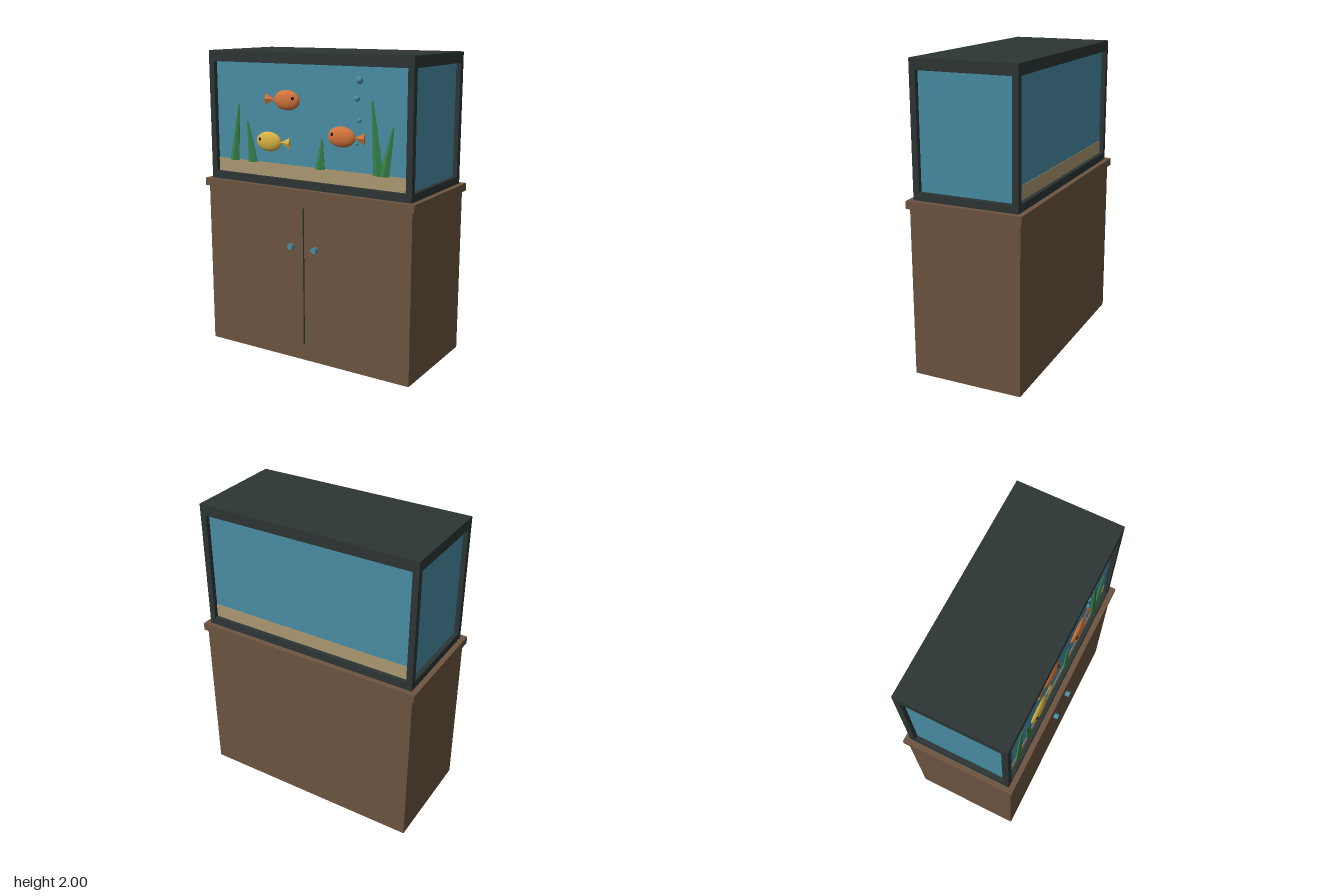
import * as THREE from 'three';

const mat = (name, color, flatShading = false) => {
  const m = new THREE.MeshStandardMaterial({ color, flatShading });
  m.name = name;
  return m;
};

export function createModel() {
  const wood = mat('wood', 0x6d5541);
  const dark = mat('darkFrame', 0x2d3635);
  const water = mat('waterBlue', 0x4a8fa6);
  const sand = mat('sand', 0xae9a72);
  const green = mat('plantGreen', 0x37804a, true);
  const orange = mat('fishOrange', 0xd4763a);
  const yellow = mat('fishYellow', 0xd9b443);
  const black = mat('eyeBlack', 0x1a1a1a);

  const model = new THREE.Group();
  model.name = 'aquarium';
  const CZ = -0.007; // depth centre of the furniture

  const add = (name, geo, material, x, y, z, parent = model) => {
    const mesh = new THREE.Mesh(geo, material);
    mesh.name = name;
    mesh.position.set(x, y, z);
    parent.add(mesh);
    return mesh;
  };
  // Box given by its size and its bottom height
  const box = (name, m, w, h, d, x, y0, z) =>
    add(name, new THREE.BoxGeometry(w, h, d), m, x, y0 + h / 2, z);

  // Cabinet with top board, door gap and knobs
  box('cabinet', wood, 1.53, 1.1, 0.73, 0, 0, CZ);
  box('topBoard', wood, 1.57, 0.05, 0.765, 0, 1.1, CZ);
  box('doorGap', dark, 0.006, 0.92, 0.008, 0, 0.11, 0.36);
  for (const s of [-1, 1]) {
    const knob = new THREE.CylinderGeometry(0.02, 0.02, 0.034, 8).rotateX(Math.PI / 2);
    add('knob', knob, water, s * 0.09, 0.77, 0.372);
  }

  // Tank frame: base, lid and four corner posts
  box('frameBase', dark, 1.5, 0.05, 0.695, 0, 1.15, CZ);
  box('frameLid', dark, 1.5, 0.07, 0.695, 0, 1.93, CZ);
  for (const sx of [-1, 1])
    for (const sz of [-1, 1])
      box('framePost', dark, 0.04, 0.73, 0.04, sx * 0.73, 1.2, CZ + sz * 0.3275);

  // Water block with the sand bed showing at front and back
  box('water', water, 1.44, 0.73, 0.634, 0, 1.2, CZ);
  box('sandBed', sand, 1.43, 0.09, 0.64, 0, 1.2, CZ);
  const frontZ = CZ + 0.317;

  // Plants: tapered blades leaning sideways [base x, tip x, tip y]
  const blades = [
    [-0.572, -0.527, 1.655], [-0.42, -0.46, 1.545], [0.102, 0.114, 1.475],
    [0.517, 0.468, 1.73], [0.555, 0.61, 1.58],
  ];
  for (const [bx, tx, ty] of blades) {
    const h = ty - 1.285;
    const geo = new THREE.CylinderGeometry(0.007, 0.038, h, 5);
    geo.scale(1, 1, 0.6).translate(0, h / 2, 0);
    const p = geo.attributes.position;
    for (let i = 0; i < p.count; i++) p.setX(i, p.getX(i) + ((tx - bx) * p.getY(i)) / h);
    geo.computeVertexNormals();
    add('plantBlade', geo, green, bx, 1.285, frontZ + 0.005);
  }

  // Fish: flattened body, wedge tail and eye; dir is the way it faces
  const fish = (name, m, x, y, dir) => {
    const g = new THREE.Group();
    g.name = name;
    g.position.set(x, y, frontZ);
    model.add(g);
    const body = new THREE.SphereGeometry(1, 24, 16).scale(0.097, 0.064, 0.03);
    add('fishBody', body, m, 0, 0, 0, g);
    const tail = new THREE.ConeGeometry(0.037, 0.075, 4).toNonIndexed();
    tail.scale(1, 1, 0.4).rotateZ(-dir * Math.PI / 2);
    tail.computeVertexNormals();
    add('fishTail', tail, m, -dir * 0.127, 0, 0.004, g);
    const eye = new THREE.SphereGeometry(0.011, 12, 8);
    add('fishEye', eye, black, dir * 0.056, 0.014, 0.02, g);
  };
  fish('upperFish', orange, -0.15, 1.702, 1);
  fish('rightFish', orange, 0.253, 1.5, -1);
  fish('lowerFish', yellow, -0.295, 1.428, -1);

  // Rising bubbles
  for (const [x, y, r] of [[0.38, 1.848, 0.022], [0.362, 1.738, 0.018], [0.38, 1.61, 0.014], [0.362, 1.465, 0.011]])
    add('bubble', new THREE.SphereGeometry(r, 14, 10), water, x, y, frontZ + 0.005);

  return model;
}
